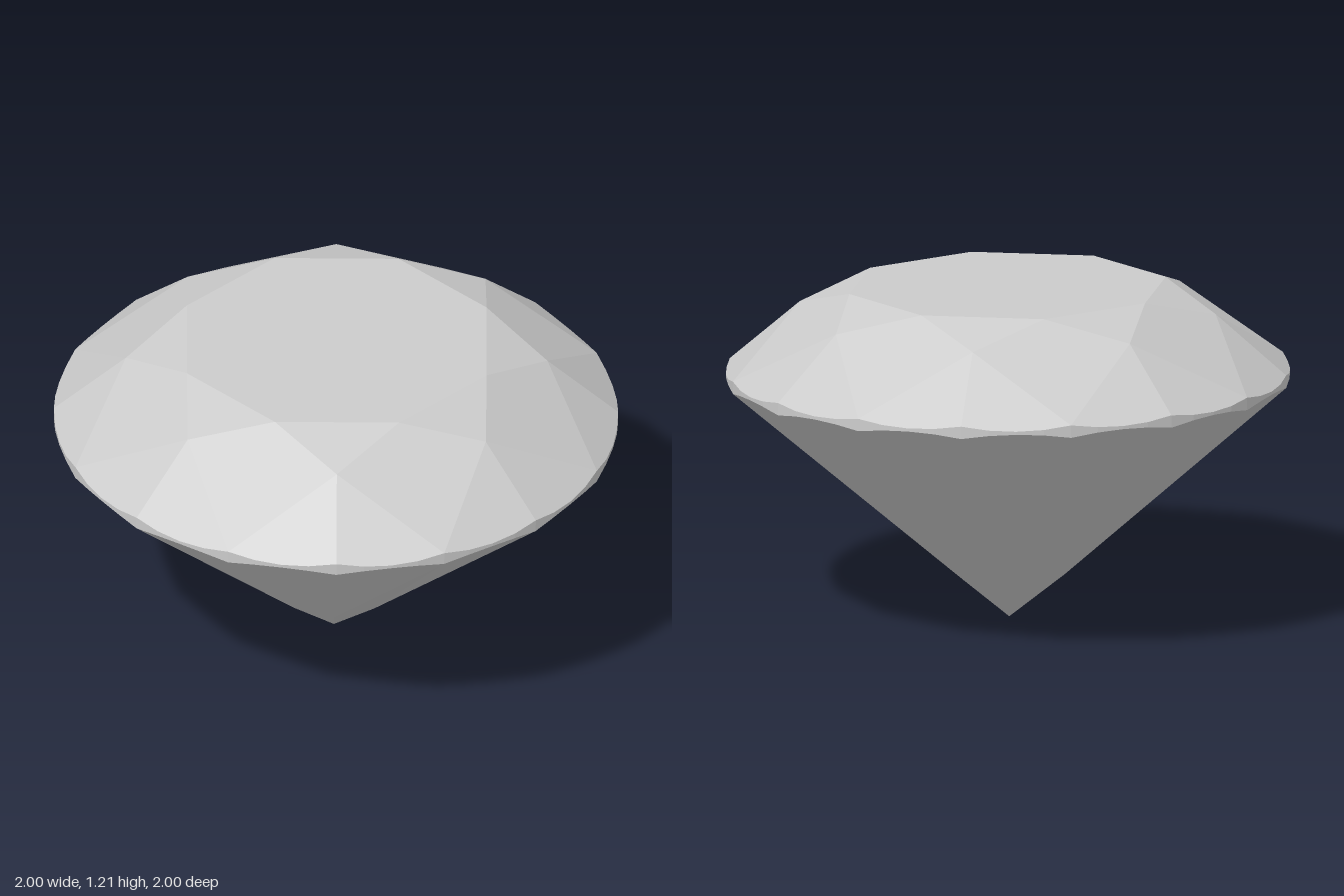
import * as THREE from 'three';

const STEP = Math.PI / 8;      // 16 girdle corners
const ARC = 4;                 // segments per scallop
const CENTRE = new THREE.Vector3(0, 0.75, 0);

const polar = (r, k, y) => new THREE.Vector3(r * Math.sin(k * STEP), y, r * Math.cos(k * STEP));

// Flat convex facets, each fanned into triangles that face away from the centre
function facetMesh(name, facets, material) {
  const pos = [];
  for (const f of facets) {
    for (let i = 1; i < f.length - 1; i++) {
      const [a, b, c] = [f[0], f[i], f[i + 1]];
      const n = b.clone().sub(a).cross(c.clone().sub(a));
      const outward = n.dot(a.clone().sub(CENTRE)) > 0;
      for (const p of outward ? [a, b, c] : [a, c, b]) pos.push(p.x, p.y, p.z);
    }
  }
  const geo = new THREE.BufferGeometry();
  geo.setAttribute('position', new THREE.Float32BufferAttribute(pos, 3));
  geo.computeVertexNormals();
  const mesh = new THREE.Mesh(geo, material);
  mesh.name = name;
  return mesh;
}

// Scalloped edge where the plane through tip and two girdle corners cuts the unit cylinder
function scallop(tip, k, y) {
  const plane = new THREE.Plane().setFromCoplanarPoints(tip, polar(1, k, y), polar(1, k + 1, y));
  const points = [];
  for (let i = 0; i <= ARC; i++) {
    const p = polar(1, k + i / ARC, 0);
    p.y = -(plane.normal.x * p.x + plane.normal.z * p.z + plane.constant) / plane.normal.y;
    points.push(p);
  }
  return points;
}

export function createModel() {
  const material = new THREE.MeshStandardMaterial({ color: 0xcccccc, flatShading: true });
  const topY = 0.905, bottomY = 0.86;
  const tablePoint = (k) => polar(0.575, k, 1.2);                              // even k
  const crownPoint = (k) => polar(0.747, k, 1.12);                             // odd k
  const lowerPoint = (k) => polar(0.2, k, 0.2 * bottomY * Math.cos(STEP));     // odd k
  const culet = new THREE.Vector3(0, 0, 0);

  const table = [], stars = [], kites = [], upperHalves = [];
  const girdle = [], mains = [], lowerHalves = [];

  for (let k = 0; k < 16; k += 2) {
    table.push(tablePoint(k));
    stars.push([tablePoint(k), crownPoint(k + 1), tablePoint(k + 2)]);
    kites.push([tablePoint(k), crownPoint(k - 1), polar(1, k, topY), crownPoint(k + 1)]);
    mains.push([culet, lowerPoint(k - 1), polar(1, k, bottomY), lowerPoint(k + 1)]);
    // Two half facets above and below the girdle, with the band between them
    for (const j of [k, k + 1]) {
      const upper = scallop(crownPoint(k + 1), j, topY);
      const lower = scallop(lowerPoint(k + 1), j, bottomY);
      upperHalves.push([crownPoint(k + 1), ...upper]);
      lowerHalves.push([lowerPoint(k + 1), ...lower]);
      for (let i = 0; i < ARC; i++) girdle.push([lower[i], lower[i + 1], upper[i + 1], upper[i]]);
    }
  }

  const gem = new THREE.Group();
  gem.name = 'gem';
  const parts = { table: [table], starFacets: stars, kiteFacets: kites, upperHalfFacets: upperHalves,
    girdle, pavilionMainFacets: mains, lowerHalfFacets: lowerHalves };
  for (const [name, facets] of Object.entries(parts)) gem.add(facetMesh(name, facets, material));

  // Slight forward lean
  gem.rotation.x = 0.0225;
  gem.position.z = -0.02;

  const model = new THREE.Group();
  model.name = 'brilliantCutGem';
  model.add(gem);
  return model;
}
